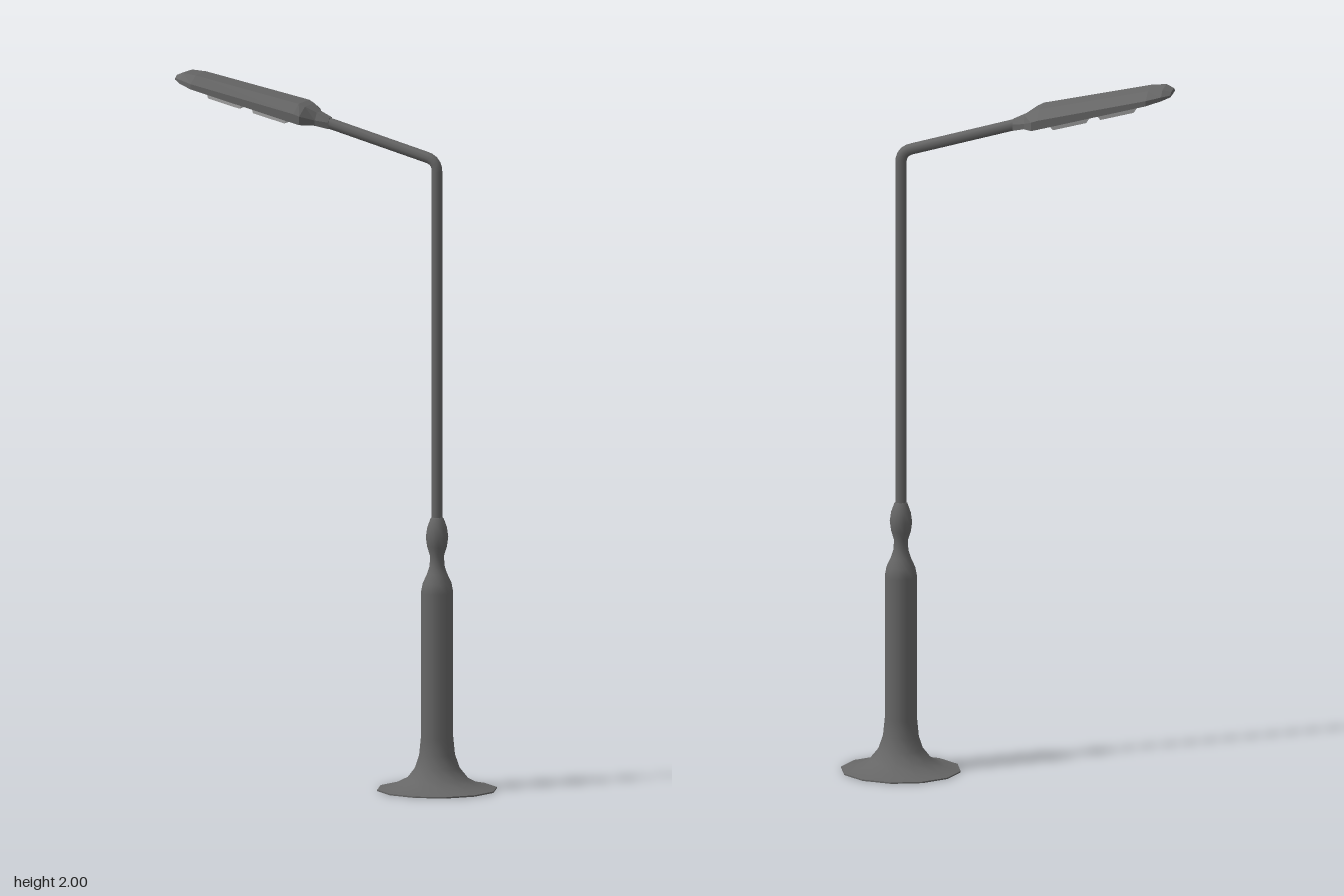
import * as THREE from 'three';

const POLE_X = 0.3;
const metal = new THREE.MeshStandardMaterial({ color: 0x666666 });
const metalFlat = new THREE.MeshStandardMaterial({ color: 0x666666, flatShading: true });
const glass = new THREE.MeshStandardMaterial({ color: 0xcccccc, flatShading: true });

function add(parent, name, geometry, material) {
  const mesh = new THREE.Mesh(geometry, material);
  mesh.name = name;
  parent.add(mesh);
  return mesh;
}

// Skin a list of rings (outward faces) and close both ends
function loft(rings) {
  const n = rings[0].length;
  const index = [];
  for (let i = 0; i < rings.length - 1; i++) {
    for (let j = 0; j < n; j++) {
      const a = i * n + j, b = i * n + (j + 1) % n;
      index.push(a, b, b + n, a, b + n, a + n);
    }
  }
  const last = (rings.length - 1) * n;
  for (let j = 1; j < n - 1; j++) {
    index.push(0, j + 1, j, last, last + j, last + j + 1);
  }
  const g = new THREE.BufferGeometry();
  g.setAttribute('position', new THREE.Float32BufferAttribute(rings.flat(2), 3));
  g.setIndex(index);
  const flat = g.toNonIndexed();
  flat.computeVertexNormals();
  return flat;
}

export function createModel() {
  const lamp = new THREE.Group();
  lamp.name = 'streetLamp';

  // Flared foot, thick lower column, shoulder and bulb collar
  const profile = [
    [0.17, 0.004], [0.125, 0.013], [0.088, 0.032], [0.064, 0.062], [0.051, 0.1],
    [0.046, 0.15], [0.046, 0.56], [0.041, 0.587], [0.028, 0.615], [0.021, 0.637],
    [0.02, 0.665], [0.028, 0.69], [0.032, 0.718], [0.028, 0.745], [0.019, 0.77], [0.014, 0.775],
  ].map(([r, y]) => new THREE.Vector2(r, y));
  add(lamp, 'column', new THREE.LatheGeometry(profile, 12), metal).position.x = POLE_X;
  const plate = add(lamp, 'footPlate', new THREE.CylinderGeometry(0.17, 0.17, 0.004, 12), metalFlat);
  plate.position.set(POLE_X, 0.002, 0);

  // Slim pole bending into the rising arm
  const p = (x, y) => new THREE.Vector3(x, y, 0);
  const path = new THREE.CurvePath();
  path.add(new THREE.LineCurve3(p(POLE_X, 0.76), p(POLE_X, 1.755)));
  path.add(new THREE.QuadraticBezierCurve3(p(POLE_X, 1.755), p(POLE_X, 1.786), p(0.27, 1.794)));
  path.add(new THREE.LineCurve3(p(0.27, 1.794), p(-0.04, 1.88)));
  add(lamp, 'poleAndArm', new THREE.TubeGeometry(path, 120, 0.016, 8), metal);

  // Lamp head stations: x, bottom y, side y, top y, half width, half width of top
  const stations = [
    [-0.02, 1.861, 1.879, 1.891, 0.018, 0.01],
    [-0.055, 1.871, 1.886, 1.906, 0.034, 0.018],
    [-0.083, 1.878, 1.902, 1.924, 0.083, 0.037],
    [-0.1, 1.882, 1.908, 1.932, 0.083, 0.042],
    [-0.41, 1.962, 1.977, 1.996, 0.083, 0.042],
    [-0.45, 1.973, 1.984, 2.0, 0.062, 0.036],
    [-0.473, 1.98, 1.985, 1.992, 0.038, 0.026],
  ];
  add(lamp, 'lampHead', loft(stations.map(([x, yb, ys, yt, w, t]) => [
    [x, yb, w], [x, ys, w], [x, yt, t], [x, yt, -t], [x, ys, -w], [x, yb, -w],
  ])), metalFlat);

  // Two tapered light panels under the head
  const underside = (x) => 1.857 - 0.257 * x;
  for (const x of [-0.32, -0.185]) {
    const panel = new THREE.CylinderGeometry(Math.SQRT1_2, 0.6, 1, 4, 1);
    panel.rotateY(Math.PI / 4);
    panel.scale(0.115, 0.022, 0.115);
    const mesh = add(lamp, 'lightPanel', panel, glass);
    mesh.position.set(x, underside(x) - 0.007, 0);
    mesh.rotation.z = -Math.atan(0.257);
  }

  return lamp;
}
